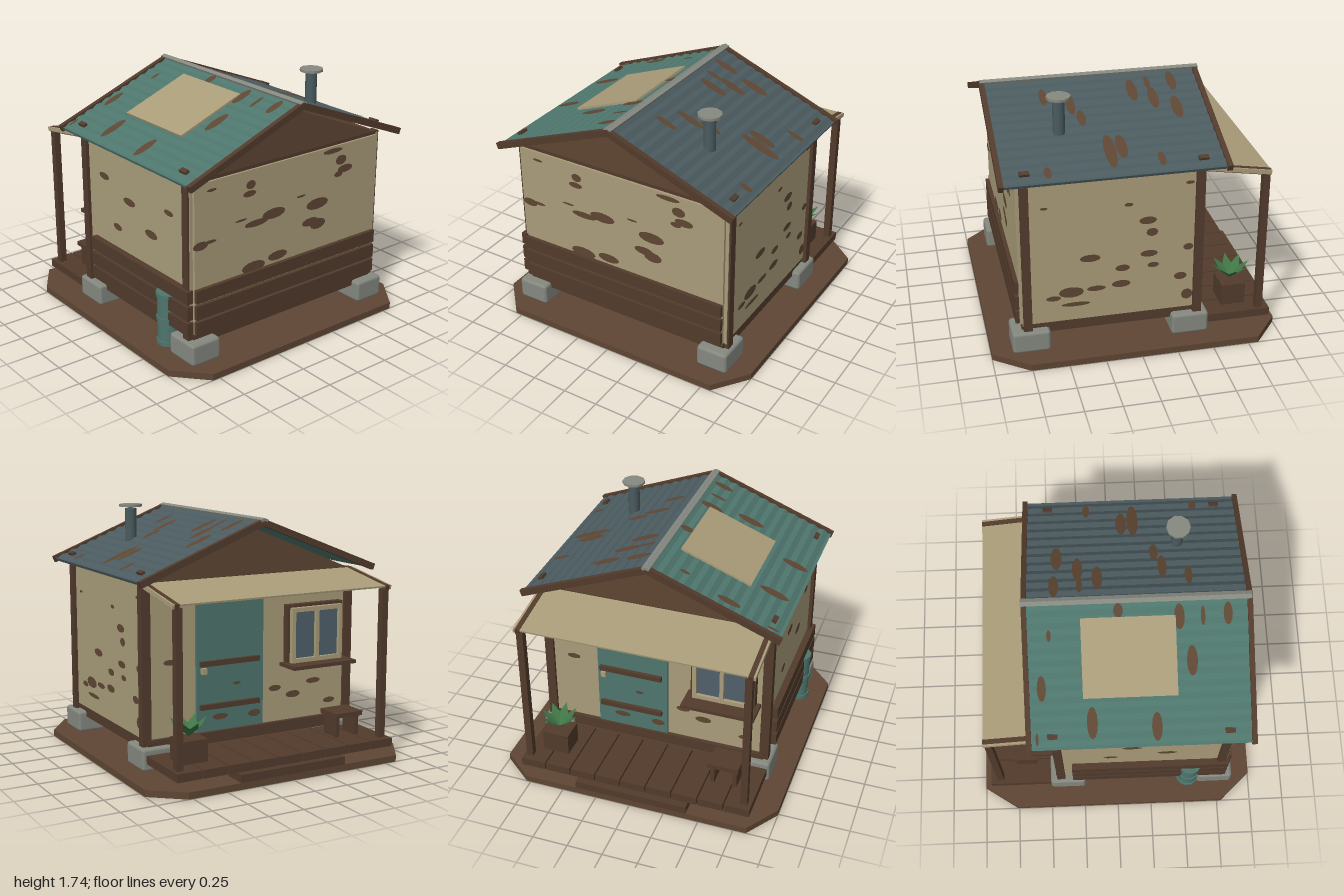
import * as THREE from 'three';
import { RoundedBoxGeometry } from 'three/addons/geometries/RoundedBoxGeometry.js';

const mat = (name, color, extra = {}) => {
  const m = new THREE.MeshStandardMaterial({ color, ...extra });
  m.name = name;
  return m;
};

export function createModel() {
  const earth = mat('rust brown', 0x5e4633);
  const wood = mat('dark wood', 0x523b2c);
  const plaster = mat('beige plaster', 0xa99c79);
  const teal = mat('teal paint', 0x4e766d);
  const slate = mat('slate metal', 0x4b5b5f);
  const grey = mat('grey concrete', 0x858980);
  const glass = mat('window glass', 0x50606a);
  const green = mat('leaf green', 0x3f7546, { side: THREE.DoubleSide });

  const root = new THREE.Group();
  root.name = 'cabin';

  const add = (name, geo, m, x = 0, y = 0, z = 0, parent = root) => {
    const mesh = new THREE.Mesh(geo, m);
    mesh.name = name;
    mesh.position.set(x, y, z);
    parent.add(mesh);
    return mesh;
  };
  // box given by its limits on each axis
  const box = (name, m, x0, x1, y0, y1, z0, z1, parent = root) =>
    add(name, new THREE.BoxGeometry(x1 - x0, y1 - y0, z1 - z0), m,
      (x0 + x1) / 2, (y0 + y1) / 2, (z0 + z1) / 2, parent);
  const group = (name, x, y, z, parent = root) => {
    const g = new THREE.Group();
    g.name = name;
    g.position.set(x, y, z);
    parent.add(g);
    return g;
  };
  // flat worn patches on a wall: [u, v, radius u, radius v]
  const patches = (name, x, z, turn, list) => {
    const g = group(name, x, 0, z);
    g.rotation.y = turn;
    for (const [u, v, ru, rv] of list)
      add('rustPatch', new THREE.CircleGeometry(1, 12), earth, u, v, 0, g).scale.set(ru, rv, 1);
  };
  const prism = (points, depth) => new THREE.ExtrudeGeometry(
    new THREE.Shape(points.map(([x, y]) => new THREE.Vector2(x, y))), { depth, bevelEnabled: false });

  // ground slab with cut corners, and foundation blocks
  const slab = prism([[-0.8, -1], [0.82, -1], [1, -0.76], [1, 0.82], [0.78, 1], [-0.84, 1],
    [-1, 0.76], [-1, -0.78]], 0.046);
  add('groundSlab', slab.rotateX(-Math.PI / 2), earth);
  for (const x of [-0.745, 0.745]) for (const z of [0.73, -0.37])
    add('foundationBlock', new RoundedBoxGeometry(0.23, 0.155, 0.26, 1, 0.022), grey, x, 0.123, z);

  // floor, walls, corner posts
  box('floorFrame', wood, -0.8, 0.8, 0.16, 0.24, -0.46, 0.79);
  box('walls', plaster, -0.81, 0.81, 0.24, 1.28, -0.43, 0.78);
  box('frontPanel', plaster, -0.795, 0.795, 0.24, 1.28, 0.78, 0.8);
  box('topPlate', wood, -0.8, 0.8, 1.28, 1.305, -0.43, 0.785);
  for (const s of [-1, 1]) {
    for (const z of [0.75, -0.42]) box('cornerPost', wood, s * 0.8025 - 0.0325, s * 0.8025 + 0.0325, 0.17, 1.3, z - 0.03, z + 0.03);
    box('postTrim', plaster, s * 0.814 - 0.008, s * 0.814 + 0.008, 0.24, 1.29, 0.78, 0.786);
  }
  // gable ends
  for (const z of [0.755, -0.445])
    add('gable', prism([[-0.79, 1.3], [0.79, 1.3], [0, 1.622]], 0.025), earth, 0, 0, z);

  // cladding planks on the front and the right side
  for (const [y0, y1] of [[0.25, 0.34], [0.357, 0.455], [0.475, 0.565]]) {
    box('frontPlank', wood, -0.8, 0.795, y0, y1, 0.8, 0.828);
    box('sidePlank', wood, -0.857, -0.81, y0, y1, -0.33, 0.8);
  }

  // worn patches
  patches('frontPatches', 0, 0.803, 0, [[-0.14, 0.93, 0.1, 0.037], [-0.29, 0.9, 0.1, 0.024],
    [0.25, 0.9, 0.1, 0.04], [0.19, 0.78, 0.075, 0.03], [0.26, 0.75, 0.07, 0.038], [-0.1, 0.615, 0.085, 0.033],
    [-0.31, 0.59, 0.1, 0.04], [-0.75, 0.86, 0.06, 0.03], [-0.68, 0.87, 0.06, 0.012], [-0.35, 1.12, 0.055, 0.022],
    [-0.34, 1.18, 0.04, 0.03], [0.5, 1.1, 0.07, 0.028], [0.46, 1.17, 0.05, 0.035], [0.38, 1.25, 0.09, 0.018],
    [0.44, 1.07, 0.04, 0.02], [-0.66, 1.22, 0.04, 0.01], [-0.42, 0.95, 0.05, 0.008], [0.1, 0.99, 0.04, 0.008]]);
  patches('leftPatches', 0.813, 0, Math.PI / 2, [[-0.32, 0.7, 0.07, 0.028], [-0.45, 0.455, 0.085, 0.04],
    [-0.57, 0.42, 0.05, 0.02], [-0.1, 0.6, 0.05, 0.025], [-0.11, 0.48, 0.065, 0.027], [-0.28, 0.465, 0.065, 0.02],
    [-0.42, 0.36, 0.1, 0.016], [0.07, 0.94, 0.06, 0.028], [0.1, 0.85, 0.04, 0.03], [0.08, 0.69, 0.06, 0.025],
    [0.11, 0.6, 0.04, 0.02], [0.3, 0.49, 0.045, 0.028], [0.35, 0.34, 0.04, 0.04], [-0.06, 1.07, 0.03, 0.014],
    [-0.62, 1.1, 0.025, 0.01], [0.35, 0.71, 0.035, 0.025], [0.35, 1.19, 0.03, 0.012]]);
  patches('rightPatches', -0.813, 0, -Math.PI / 2, [[-0.2, 1.05, 0.06, 0.025], [0.1, 0.95, 0.07, 0.028],
    [0.35, 0.8, 0.07, 0.03], [-0.05, 0.72, 0.05, 0.025], [0.55, 1.02, 0.05, 0.02]]);
  patches('backPatches', 0, -0.433, Math.PI, [[0.2, 0.48, 0.05, 0.022], [0.35, 0.42, 0.06, 0.025],
    [0.52, 0.5, 0.06, 0.02], [0.66, 0.34, 0.05, 0.02], [-0.62, 0.75, 0.05, 0.02]]);

  // corrugated roof: one sloped group for each side, measured along the slope
  const tilt = Math.atan(0.39), cos = Math.cos(tilt);
  const roofSide = (side, m, spots) => {
    const g = group(side > 0 ? 'leftRoof' : 'rightRoof', 0, 1.69, 0);
    g.rotation.z = -side * tilt;
    const slopeBox = (name, mm, s0, s1, t0, t1, z0, z1) =>
      box(name, mm, Math.min(side * s0, side * s1), Math.max(side * s0, side * s1), t0, t1, z0, z1, g);
    const profile = [[0, -0.034]], n = 48, len = 0.975;
    for (let i = 0; i <= n; i++)
      profile.push([side * len * i / n, -0.014 + 0.006 * Math.sin(i * Math.PI / 2)]);
    profile.push([side * len, -0.034]);
    add('roofSheet', prism(profile, 1.45), m, 0, 0, -0.57, g);
    for (const z of [-0.5875, 0.8975]) slopeBox('bargeBoard', wood, 0, 0.985, -0.045, 0, z - 0.0175, z + 0.0175);
    slopeBox('ridgeCap', grey, -0.003, 0.028, -0.012, 0.006, -0.61, 0.91);
    for (const z of [-0.43, 0.74]) slopeBox('roofClip', wood, 0.87, 0.903, -0.01, 0.008, z - 0.033, z + 0.033);
    for (const [x, z, rx, rz] of spots) {
      const p = add('rustPatch', new THREE.CircleGeometry(1, 12), earth, side * x / cos, -0.005, z, g);
      p.rotation.x = -Math.PI / 2;
      p.scale.set(rx / cos, rz, 1);
    }
    return slopeBox;
  };
  const rightBox = roofSide(-1, teal, [[0.53, -0.49, 0.08, 0.03], [0.21, -0.43, 0.035, 0.015], [0.75, -0.165, 0.1, 0.036],
    [0.785, 0.26, 0.09, 0.035], [0.39, 0.505, 0.095, 0.036], [0.07, 0.03, 0.045, 0.032], [0.12, 0.43, 0.08, 0.035],
    [0.12, 0.585, 0.06, 0.015], [0.11, 0.75, 0.07, 0.03], [0.84, -0.53, 0.04, 0.01]]);
  roofSide(1, slate, [[0.13, -0.39, 0.09, 0.033], [0.37, -0.37, 0.1, 0.038], [0.27, -0.23, 0.1, 0.035],
    [0.13, -0.22, 0.06, 0.02], [0.19, -0.1, 0.1, 0.036], [0.8, -0.16, 0.06, 0.024], [0.67, 0.08, 0.1, 0.038],
    [0.7, 0.16, 0.14, 0.04], [0.27, 0.34, 0.1, 0.03], [0.4, 0.29, 0.07, 0.03], [0.19, 0.51, 0.075, 0.027],
    [0.83, 0.59, 0.045, 0.025]]);
  rightBox('roofPanel', plaster, 0.11 / cos, 0.6 / cos, -0.012, 0.004, -0.22, 0.405);

  // chimney
  add('chimneyPipe', new THREE.CylinderGeometry(0.041, 0.041, 0.26, 10), slate, 0.483, 1.575, 0.455);
  add('chimneyNeck', new THREE.CylinderGeometry(0.015, 0.015, 0.03, 8), slate, 0.483, 1.71, 0.455);
  add('chimneyCap', new THREE.CylinderGeometry(0.082, 0.082, 0.018, 10), grey, 0.483, 1.726, 0.455);

  // porch deck, step and posts
  for (let i = 0; i < 9; i++) {
    const x = -0.842 + i * 0.187;
    box('deckBoard', wood, x, x + 0.178, 0.1, 0.157, -0.948, -0.46);
  }
  box('porchStep', wood, -0.41, 0.4, 0.046, 0.1, -1, -0.83);
  // awning on two rails
  const awning = group('awning', 0, 1.25, -0.675);
  awning.rotation.x = -Math.atan(0.075 / 0.45);
  box('awningSheet', plaster, -0.785, 0.785, 0, 0.012, -0.228, 0.228, awning);
  for (const s of [-1, 1]) {
    box('porchPost', wood, s * 0.79 - 0.024, s * 0.79 + 0.024, 0.157, 1.2, -0.9, -0.852);
    box('awningRail', wood, s * 0.803 - 0.017, s * 0.803 + 0.017, -0.025, 0.014, -0.23, 0.23, awning);
    box('awningEdge', plaster, s * 0.827 - 0.007, s * 0.827 + 0.007, -0.015, 0.014, -0.23, 0.23, awning);
  }

  // door
  box('door', teal, -0.09, 0.43, 0.245, 1.15, -0.452, -0.43);
  for (const y of [0.42, 0.72]) box('doorBatten', wood, -0.05, 0.41, y - 0.018, y + 0.018, -0.478, -0.452);
  box('doorHandle', plaster, 0.365, 0.4, 0.65, 0.69, -0.48, -0.452);
  patches('doorPatches', 0, -0.455, Math.PI, [[-0.25, 0.34, 0.06, 0.022], [0.02, 0.33, 0.05, 0.025], [-0.12, 0.56, 0.03, 0.012]]);

  // window with sill
  box('windowBacking', wood, -0.73, -0.27, 0.65, 1.07, -0.48, -0.43);
  box('windowPane', glass, -0.69, -0.31, 0.68, 1.04, -0.49, -0.48);
  for (const x of [-0.695, -0.5, -0.305]) box('windowUpright', plaster, x - 0.014, x + 0.014, 0.66, 1.05, -0.515, -0.48);
  for (const y of [0.675, 1.035]) box('windowRail', plaster, -0.709, -0.291, y - 0.015, y + 0.015, -0.513, -0.48);
  box('windowSill', wood, -0.76, -0.24, 0.635, 0.66, -0.62, -0.43);

  // small bench
  box('benchSeat', wood, -0.71, -0.49, 0.298, 0.33, -0.775, -0.58);
  for (const x of [-0.68, -0.52]) box('benchLeg', wood, x - 0.015, x + 0.015, 0.157, 0.3, -0.75, -0.605);

  // planter with leaves
  box('planter', wood, 0.535, 0.725, 0.157, 0.31, -0.8, -0.63);
  const leaf = new THREE.BufferGeometry();
  leaf.setAttribute('position', new THREE.Float32BufferAttribute(
    [0, 0, 0, 0.07, 0.065, 0.035, 0.135, 0.12, 0, 0, 0, 0, 0.135, 0.12, 0, 0.07, 0.065, -0.035], 3));
  leaf.computeVertexNormals();
  const plant = group('plant', 0.63, 0.318, -0.715);
  for (let i = 0; i < 8; i++) add('leaf', leaf, green, 0, 0, 0, plant).rotation.y = i * Math.PI / 4;

  // water barrel against the side wall
  add('barrel', new THREE.CylinderGeometry(0.078, 0.078, 0.375, 14), teal, -0.808, 0.272, 0.53);
  for (const y of [0.1, 0.27, 0.445]) add('barrelBand', new THREE.CylinderGeometry(0.086, 0.086, 0.03, 14), teal, -0.808, y, 0.53);

  return root;
}
